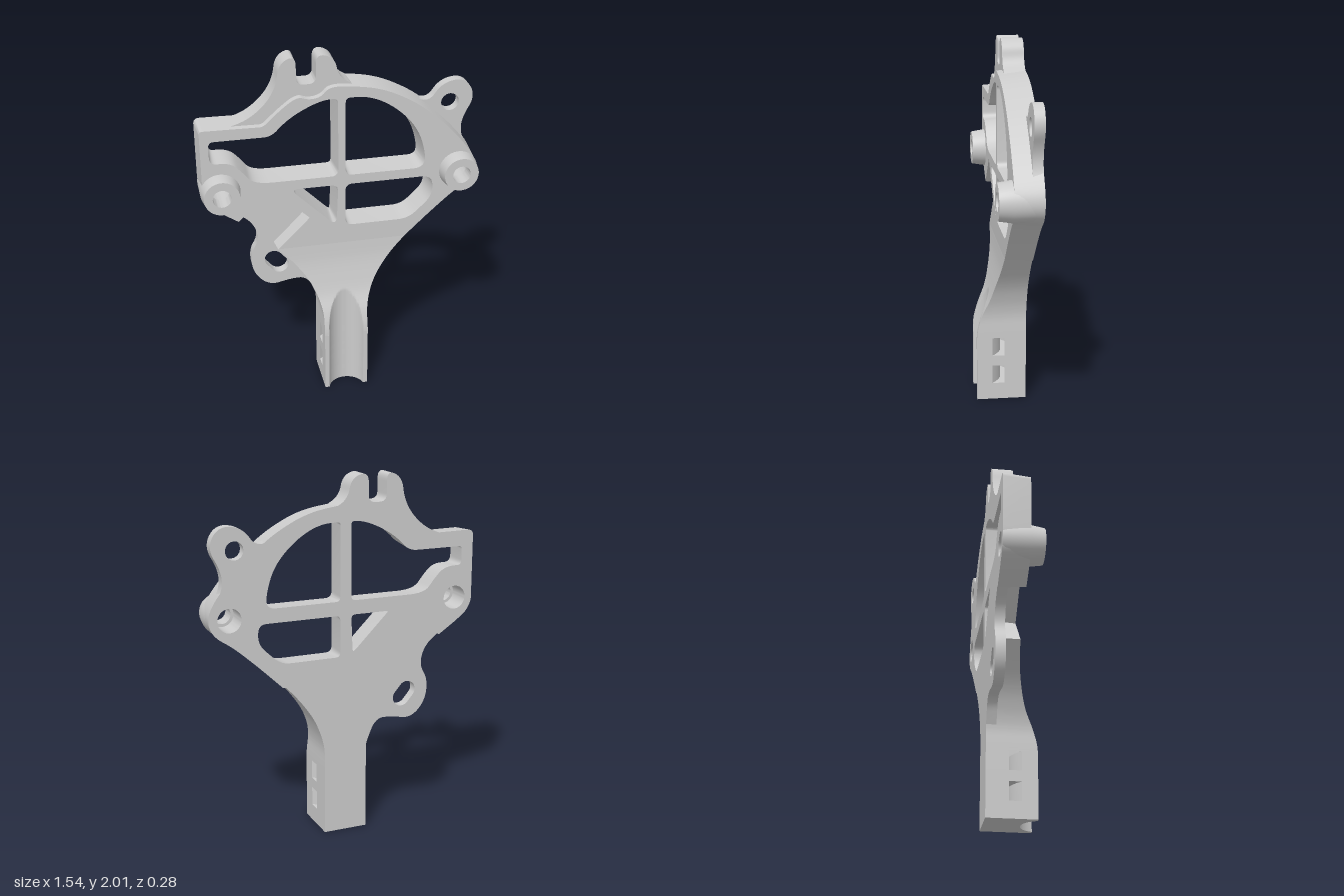
import * as THREE from 'three';
import { toCreasedNormals } from 'three/addons/utils/BufferGeometryUtils.js';

const BACK = -0.135, FACE = 0.015;
const material = new THREE.MeshStandardMaterial({ color: 0xcccccc, side: THREE.DoubleSide });

// Closed outline through [x, y, cornerRadius]; large radii blend into smooth curves
function outline(points, r, Type = THREE.Path) {
  const path = new Type(), n = points.length;
  points.forEach((p, i) => {
    const v = new THREE.Vector2(p[0], p[1]);
    const toward = q => {
      const d = new THREE.Vector2(q[0], q[1]).sub(v);
      const len = d.length();
      return d.multiplyScalar(Math.min(p[2] ?? r, len / 2) / len).add(v);
    };
    const a = toward(points[(i + n - 1) % n]), b = toward(points[(i + 1) % n]);
    if (i === 0) path.moveTo(a.x, a.y); else path.lineTo(a.x, a.y);
    if ((p[2] ?? r) > 0) path.quadraticCurveTo(v.x, v.y, b.x, b.y);
  });
  path.closePath();
  return path;
}

const circle = (x, y, r) => new THREE.Path().absarc(x, y, r, 0, Math.PI * 2, true);

function add(group, name, geometry) {
  const mesh = new THREE.Mesh(toCreasedNormals(geometry, 0.6), material);
  mesh.name = name;
  group.add(mesh);
}

// Flat plate standing on the back plane
function slab(shape, front) {
  return new THREE.ExtrudeGeometry(shape, { depth: front - BACK, bevelEnabled: false, curveSegments: 8 })
    .translate(0, 0, BACK);
}

// Plate whose walls taper inward from back to front
function draftedSlab(shape, front, draft) {
  const g = new THREE.ExtrudeGeometry(shape, {
    depth: 0, bevelEnabled: true, bevelThickness: front - BACK, bevelSize: draft, bevelSegments: 1, curveSegments: 6,
  });
  const p = g.attributes.position;
  for (let i = 0; i < p.count; i++) p.setZ(i, Math.max(p.getZ(i), 0) + BACK);
  return g;
}

// Smooth lookup table
function lookup(pairs) {
  const pts = new THREE.SplineCurve(pairs.map(p => new THREE.Vector2(...p))).getPoints(160);
  return y => {
    let i = 1;
    while (i < pts.length - 1 && pts[i].x < y) i++;
    const a = pts[i - 1], b = pts[i];
    const t = THREE.MathUtils.clamp((y - a.x) / (b.x - a.x), 0, 1);
    return a.y + (b.y - a.y) * t;
  };
}

const halfWidth = lookup([[0.3, 0.125], [0.4, 0.125], [0.48, 0.125], [0.54, 0.134], [0.6, 0.152], [0.67, 0.182],
  [0.74, 0.225], [0.82, 0.287], [0.9, 0.36]]);
const frontZ = lookup([[0.3, 0.14], [0.36, 0.14], [0.42, 0.133], [0.5, 0.11], [0.6, 0.069], [0.7, 0.043],
  [0.8, 0.024], [0.9, FACE]]);

// Front edge of the stem cross-section, with the round channel
function frontEdge(y) {
  const w = halfWidth(y), f = frontZ(y), pts = [[-w, f]];
  for (let i = 0; i <= 40; i++) {
    const x = -0.1 + i * 0.005;
    pts.push([x, Math.min(f, 0.166 - Math.sqrt(0.1033 ** 2 - x * x))]);
  }
  return [...pts, [w, f]];
}

// Arc across the stem used by the curved strap slots
function arcEdge(zSide, zMiddle) {
  const pts = [];
  for (let i = 0; i <= 16; i++) {
    const u = i / 8 - 1;
    pts.push([0.125 * u, zMiddle + (zSide - zMiddle) * u * u]);
  }
  return pts;
}

function stemPiece(points, y0, y1) {
  const shape = new THREE.Shape(points.map(p => new THREE.Vector2(...p)));
  return new THREE.ExtrudeGeometry(shape, { depth: y1 - y0, bevelEnabled: false })
    .rotateX(Math.PI / 2).translate(0, y1, 0);
}

// Flared neck lofted from stem to plate
function neckGeometry(y0, y1, rows) {
  const pos = [], index = [];
  let n = 0;
  for (let j = 0; j <= rows; j++) {
    const y = y0 + (y1 - y0) * j / rows, w = halfWidth(y);
    const ring = [...frontEdge(y), [w, BACK], [-w, BACK]];
    n = ring.length;
    ring.forEach(([x, z]) => pos.push(x, y, z));
  }
  for (let j = 0; j < rows; j++) {
    for (let i = 0; i < n; i++) {
      const a = j * n + i, b = j * n + (i + 1) % n;
      index.push(a, b, b + n, a, b + n, a + n);
    }
  }
  const g = new THREE.BufferGeometry();
  g.setAttribute('position', new THREE.Float32BufferAttribute(pos, 3));
  g.setIndex(index);
  g.computeVertexNormals();
  return g;
}

export function createModel() {
  const model = new THREE.Group();
  model.name = 'bracket';

  // Main plate with four windows
  const plate = outline([
    [0.36, 0.9, 0], [0.5, 1.035], [0.64, 1.16], [0.73, 1.215], [0.765, 1.29], [0.735, 1.38], [0.6, 1.545],
    [0.42, 1.705], [0.22, 1.81], [0.02, 1.842], [-0.07, 1.84], [-0.11, 1.79], [-0.18, 1.78], [-0.235, 1.805],
    [-0.33, 1.735], [-0.42, 1.65, 0.02], [-0.755, 1.655, 0.02], [-0.755, 1.24], [-0.69, 1.18],
    [-0.57, 1.1, 0], [-0.39, 1.28, 0], [-0.18, 1.08, 0], [-0.36, 0.9, 0],
  ], 0.1, THREE.Shape);
  const windows = [
    [[-0.02, 1.775, 0.03], [-0.12, 1.77], [-0.28, 1.69], [-0.38, 1.59, 0.04], [-0.71, 1.59, 0.03],
      [-0.71, 1.46, 0.04], [-0.6, 1.46], [-0.54, 1.4], [-0.48, 1.32], [-0.02, 1.32, 0.04]],
    [[0.02, 1.32, 0.04], [0.45, 1.32, 0.05], [0.47, 1.39], [0.42, 1.56], [0.3, 1.69], [0.16, 1.77], [0.02, 1.775, 0.03]],
    [[0.02, 1.01, 0.04], [0.38, 1.01, 0.06], [0.515, 1.14, 0.06], [0.51, 1.265, 0.06], [0.02, 1.265, 0.04]],
    [[-0.02, 1.265, 0.04], [-0.285, 1.265, 0.05], [-0.03, 1.01, 0.06]],
  ];
  plate.holes = windows.map(w => outline(w, 0.1));
  plate.holes.push(circle(-0.66, 1.29, 0.09), circle(0.655, 1.29, 0.09));
  add(model, 'mainPlate', draftedSlab(plate, FACE, 0.012));

  // Notched top ears
  const top = outline([
    [-0.62, 1.645, 0], [-0.5, 1.68], [-0.4, 1.76], [-0.34, 1.86], [-0.325, 1.98], [-0.235, 2.02, 0.06],
    [-0.235, 1.855, 0.04], [-0.13, 1.855, 0.04], [-0.13, 2.02, 0.06], [-0.03, 1.99], [-0.01, 1.88],
    [0.08, 1.83], [0.06, 1.8, 0], [-0.1, 1.785, 0], [-0.2, 1.755, 0], [-0.3, 1.7, 0], [-0.4, 1.63, 0],
  ], 0.08, THREE.Shape);
  add(model, 'topEars', slab(top, -0.017));

  // Thin side ear
  const ear = outline([
    [0.38, 1.72, 0], [0.5, 1.66], [0.57, 1.77], [0.7, 1.79], [0.765, 1.68], [0.69, 1.55], [0.69, 1.45],
    [0.745, 1.36, 0], [0.66, 1.4, 0], [0.5, 1.56, 0],
  ], 0.12, THREE.Shape);
  ear.holes.push(circle(0.62, 1.655, 0.05));
  add(model, 'sideEar', slab(ear, -0.08));

  // Recessed lower ear with its slot
  const lower = outline([
    [-0.57, 1.1, 0], [-0.48, 1.03], [-0.45, 0.92], [-0.505, 0.83], [-0.49, 0.7], [-0.4, 0.61], [-0.28, 0.64],
    [-0.18, 0.64], [-0.125, 0.5, 0], [-0.1, 0.7, 0], [-0.17, 1.08, 0], [-0.38, 1.29, 0],
  ], 0.12, THREE.Shape);
  const slot = new THREE.Path();
  slot.absarc(-0.34, 0.745, 0.051, -Math.PI * 0.77, Math.PI * 0.23, false);
  slot.absarc(-0.373, 0.784, 0.051, Math.PI * 0.23, Math.PI * 1.23, false);
  lower.holes.push(slot);
  add(model, 'lowerEar', slab(lower, -0.08));

  // Tapered bosses, counterbored from behind
  for (const [name, x] of [['rightBoss', -0.66], ['leftBoss', 0.655]]) {
    const profile = [[0.108, BACK], [0.108, FACE], [0.096, 0.09], [0.05, 0.09], [0.05, 0], [0.066, 0],
      [0.066, BACK], [0.108, BACK]].map(p => new THREE.Vector2(...p));
    add(model, name, new THREE.LatheGeometry(profile, 48).rotateX(Math.PI / 2).translate(x, 1.29, 0));
  }

  // Neck and channelled stem
  add(model, 'neck', neckGeometry(0.365, 0.9, 64));
  const front = frontEdge(0), backCorners = [[0.125, BACK], [-0.125, BACK]];
  for (const [y0, y1] of [[0, 0.095], [0.2, 0.26]]) {
    add(model, 'stem', stemPiece([...front, ...backCorners], y0, y1));
  }

  // Strap slots curving behind the channel
  for (const [y0, y1] of [[0.095, 0.2], [0.26, 0.365]]) {
    add(model, 'slotFront', stemPiece([...front, ...arcEdge(0.055, -0.004).reverse()], y0, y1));
    add(model, 'slotBack', stemPiece([...arcEdge(-0.014, -0.07), ...backCorners], y0, y1));
  }
  return model;
}
